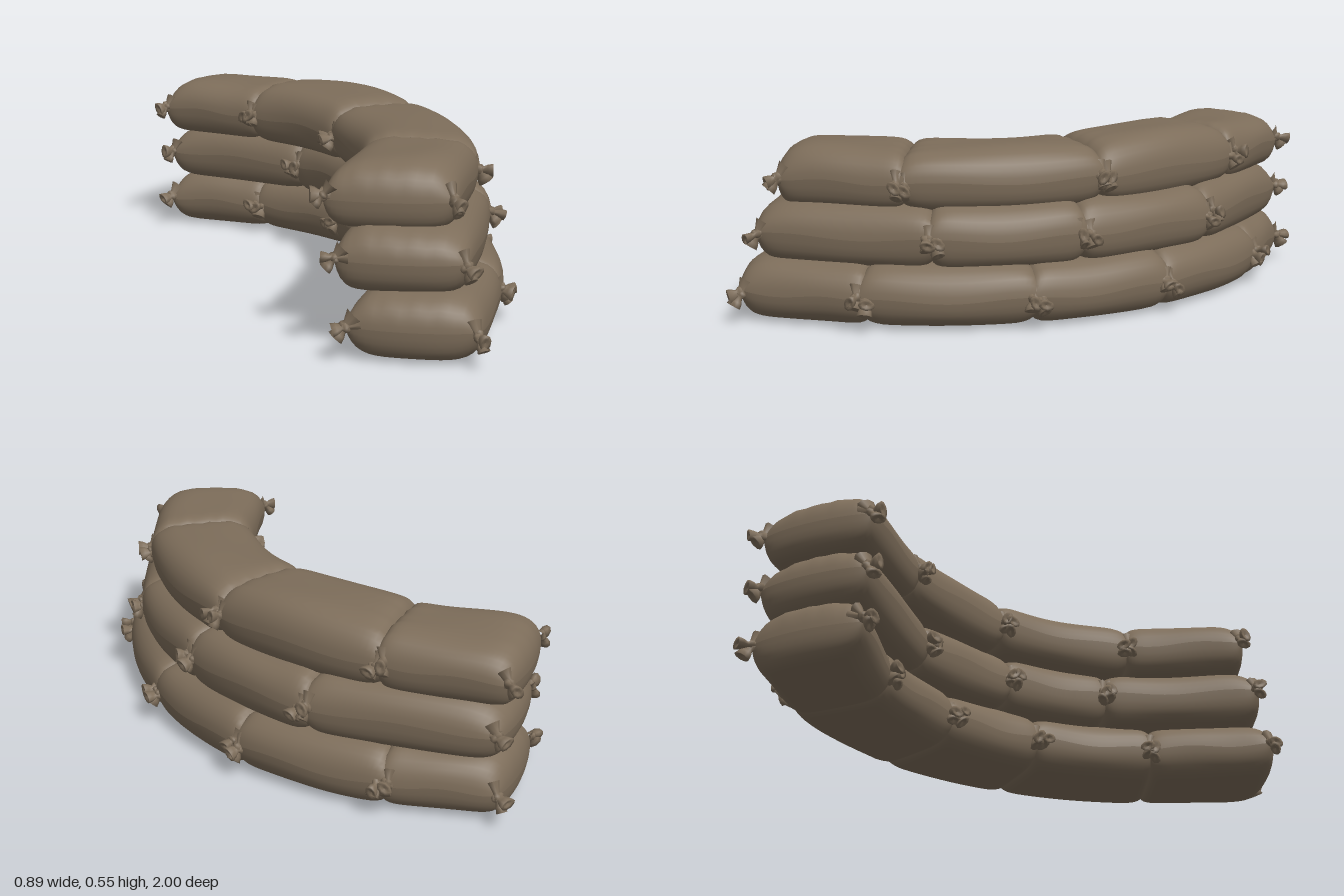
import * as THREE from 'three';

const CX = -0.88, CZ = -0.01;          // centre of the curved wall
const HALF_WIDTH = 0.175;
const DEG = Math.PI / 180;

// Rows from the ground up; each joint is [angle, radius] along the arc, front to back.
// y is the seam height, up and down are the sack's bulge above and below it,
// belly is how boxy the underside is, lifts raise the middle of single sacks.
const ROWS = [
  { name: 'bottomRow', y: 0.1, up: 0.102, down: 0.095, belly: 5, lifts: [0, 0, 0, 0, 0],
    joints: [[51.4, 1.135], [30.5, 1.115], [7, 1.12], [-13, 1.12], [-35, 1.09], [-53.4, 1.065]] },
  { name: 'middleRow', y: 0.275, up: 0.101, down: 0.095, belly: 8, lifts: [0, 0, 0, 0],
    joints: [[50, 1.085], [21, 1.085], [-0.5, 1.08], [-23, 1.08], [-53, 1.06]] },
  { name: 'topRow', y: 0.437, up: 0.097, down: 0.091, belly: 8, lifts: [0.003, 0, 0.017, -0.004],
    joints: [[47.8, 1.03], [25.5, 1.04], [-4.5, 1.03], [-33, 1.02], [-54, 1.055]] },
];

function makeRandom(seed) {
  return () => (seed = (seed * 16807) % 2147483647) / 2147483647;
}

// Point on the wall at a radius, angle (radians) and height
function onArc(r, a, y) {
  return new THREE.Vector3(CX + r * Math.cos(a), y, CZ + r * Math.sin(a));
}

// Plan of a bag: u runs front to back, v from the inner to the outer side
function bagPlan(bag, u, v) {
  const us = u * (1 - 0.03 * Math.pow(v, 8));
  const vs = v * (1 - 0.04 * Math.pow(u, 10));
  const t = (us + 1) / 2;
  // end faces are skewed and slightly convex
  const swell = 0.012 * (1 - v * v);
  const a0 = bag.a0 - bag.skew0 * vs + (bag.free0 ? swell : 0);
  const a1 = bag.a1 + bag.skew1 * vs - (bag.free1 ? swell : 0);
  // end bags lie straight rather than following the curve
  const half = (bag.a0 - bag.a1) / 2;
  const chord = Math.cos(half) / Math.cos(half * us);
  const straight = bag.free0 || bag.free1 ? 0.7 : 0.15;
  const r = (bag.r0 + (bag.r1 - bag.r0) * t) * (1 + straight * (chord - 1));
  return { r: r + vs * HALF_WIDTH * (1 + 0.02 * Math.cos(u * Math.PI / 2)), a: a0 + (a1 - a0) * t };
}

// Filled sack: a sloping top and a boxier underside meeting in a seam
function sackGeometry(bag) {
  const NU = 30, NV = 22, pos = [], index = [];
  for (const side of [1, -1]) {
    const base = pos.length / 3;
    for (let i = 0; i <= NU; i++) {
      for (let j = 0; j <= NV; j++) {
        const u = Math.sin((i / NU - 0.5) * Math.PI);
        const v = Math.sin((j / NV - 0.5) * Math.PI);
        const { r, a } = bagPlan(bag, u, v);
        // ends pressed against a neighbour stay full, free ends slope down
        const free = u < 0 ? bag.free0 : bag.free1;
        const endPower = free ? (side > 0 ? 5 : bag.belly + 3) : 12;
        const cross = side > 0 ? (1 - v ** 4) ** 0.5 : (1 - Math.abs(v) ** bag.belly) ** 0.5;
        const fill = cross * Math.sqrt(Math.max(0, 1 - Math.abs(u) ** endPower));
        // soft lumps, plus gathers towards the tied ends
        const lumps = 0.004 * Math.sin(3 * u + bag.phase) * Math.cos(2.5 * v + bag.phase * 2);
        const gathers = 0.005 * Math.sin(17 * v + bag.phase) * u ** 4;
        const seamWave = 0.006 * Math.sin(4 * u + bag.phase);
        const h = fill * (side > 0
          ? bag.up + bag.lift * (1 - u * u) + lumps + gathers
          : bag.down + lumps * 0.4);
        const p = onArc(r, a, bag.y + seamWave * (1 - fill) + side * h);
        pos.push(p.x, p.y, p.z);
      }
    }
    for (let i = 0; i < NU; i++) {
      for (let j = 0; j < NV; j++) {
        const p = base + i * (NV + 1) + j, q = p + NV + 1;
        if (side > 0) index.push(p, p + 1, q, p + 1, q + 1, q);
        else index.push(p, q, p + 1, p + 1, q, q + 1);
      }
    }
  }
  const g = new THREE.BufferGeometry();
  g.setAttribute('position', new THREE.Float32BufferAttribute(pos, 3));
  g.setIndex(index);
  g.computeVertexNormals();
  return g;
}

// Tied corner: gathered neck, knot and a flared tuft of cloth
function tuftGeometry() {
  const profile = [[0.03, -0.03], [0.015, 0.002], [0.021, 0.01], [0.021, 0.018], [0.013, 0.025],
    [0.021, 0.04], [0.025, 0.056], [0.014, 0.054], [0, 0.05]];
  return new THREE.LatheGeometry(profile.map(([x, y]) => new THREE.Vector2(x, y)), 9);
}

export function createModel() {
  const model = new THREE.Group();
  model.name = 'sandbagWall';
  const burlap = new THREE.MeshStandardMaterial({ color: 0x7d6d5a });
  burlap.name = 'brown burlap';
  const tuftShape = tuftGeometry();
  const random = makeRandom(4217);
  const up = new THREE.Vector3(0, 1, 0);

  for (const row of ROWS) {
    const rowGroup = new THREE.Group();
    rowGroup.name = row.name;
    const last = row.joints.length - 2;
    for (let k = 0; k <= last; k++) {
      const overlap = 1;
      const [front, frontRadius] = row.joints[k];
      const [back, backRadius] = row.joints[k + 1];
      const free0 = k === 0, free1 = k === last;
      const bag = {
        y: row.y, up: row.up, down: row.down, belly: row.belly, lift: row.lifts[k], free0, free1,
        r0: frontRadius, r1: backRadius,
        a0: (front + (free0 ? 0 : overlap)) * DEG,
        a1: (back - (free1 ? 0 : overlap)) * DEG,
        skew0: free0 ? 3.4 * DEG : 0,
        skew1: free1 ? 3.4 * DEG : 0,
        phase: random() * 6,
      };
      const bagGroup = new THREE.Group();
      bagGroup.name = 'sandbag';
      const sack = new THREE.Mesh(sackGeometry(bag), burlap);
      sack.name = 'sack';
      bagGroup.add(sack);

      // Tied corners, each with one tuft sticking out and one drooping
      for (const u of [-1, 1]) {
        for (const v of [-1, 1]) {
          const { r, a } = bagPlan(bag, u, v);
          const free = u < 0 ? free0 : free1;
          const radial = new THREE.Vector3(Math.cos(a), 0, Math.sin(a));
          const along = new THREE.Vector3(Math.sin(a), 0, -Math.cos(a));
          const height = bag.y + (random() - 0.5) * 0.02;
          for (const droop of [0.1, 1.3]) {
            const dir = radial.clone().multiplyScalar(v * (free ? 0.8 : 1))
              .addScaledVector(along, u * (free ? 0.6 : 0.1) + (random() - 0.5) * 0.4)
              .addScaledVector(up, (random() - 0.5) * 0.5 - droop).normalize();
            const tuft = new THREE.Mesh(tuftShape, burlap);
            tuft.name = 'tiedCorner';
            tuft.position.copy(onArc(r, a, height)).addScaledVector(dir, -0.012);
            tuft.quaternion.setFromUnitVectors(up, dir);
            tuft.rotateY(random() * 6);
            tuft.scale.set(1, 0.8 + random() * 0.25, 0.65);
            bagGroup.add(tuft);
          }
        }
      }
      rowGroup.add(bagGroup);
    }
    model.add(rowGroup);
  }
  return model;
}
